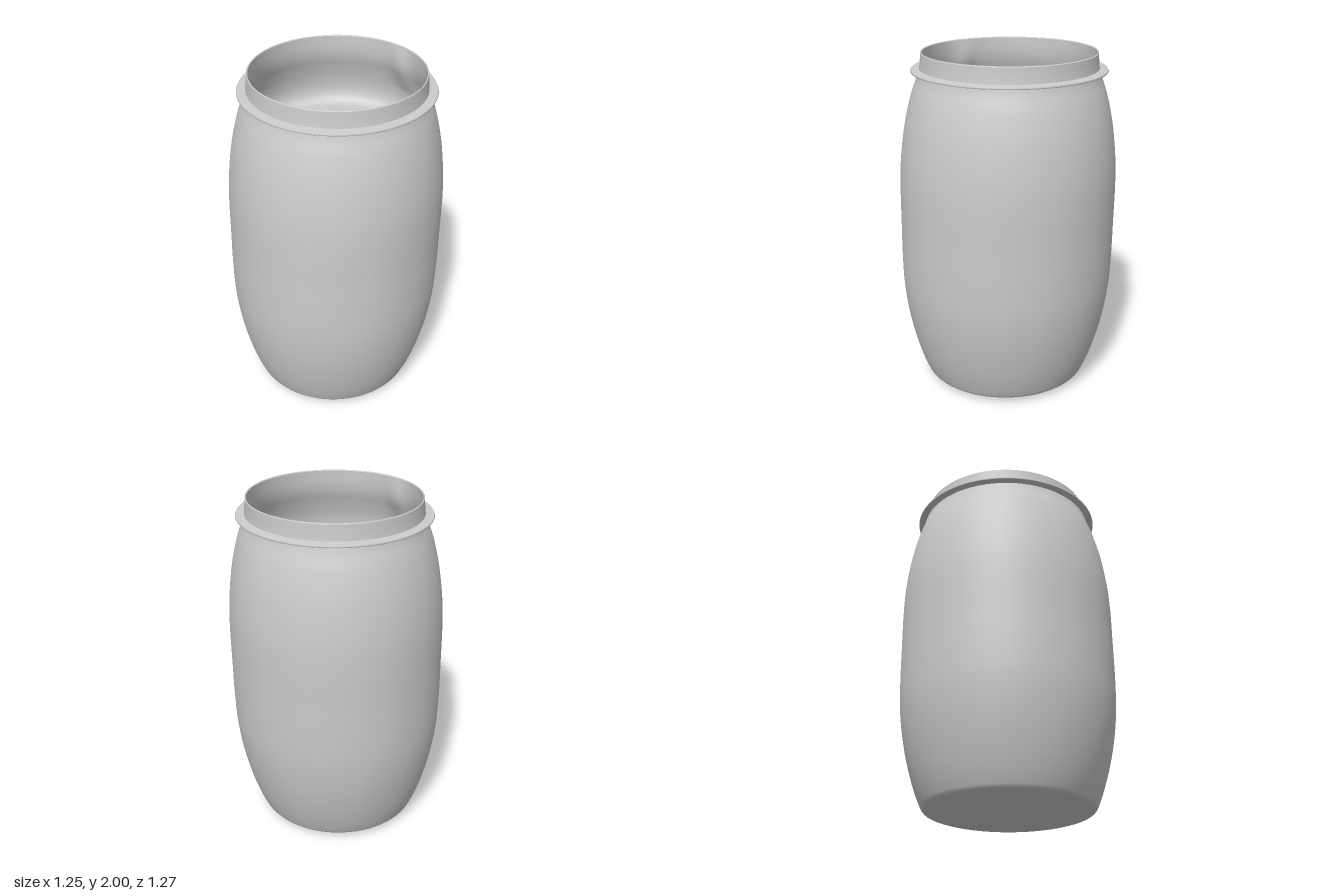
import * as THREE from 'three';
import { mergeVertices } from 'three/addons/utils/BufferGeometryUtils.js';

const material = new THREE.MeshStandardMaterial({ color: 0xcccccc, side: THREE.DoubleSide });

// Smooth curve through a few [radius, y] points
function smooth(points, count) {
  const curve = new THREE.CatmullRomCurve3(points.map(([r, y]) => new THREE.Vector3(r, y, 0)), false, 'centripetal');
  return curve.getPoints(count).map((p) => [Math.max(p.x, 0), p.y]);
}

// Turned part with a slight lean, plus an optional rule that moves its vertices
function turned(name, profile, rule) {
  const lathe = new THREE.LatheGeometry(profile.map(([r, y]) => new THREE.Vector2(r, y)), 72);
  const pos = lathe.attributes.position;
  const v = new THREE.Vector3();
  for (let i = 0; i < pos.count; i++) {
    v.fromBufferAttribute(pos, i);
    if (rule) rule(v);
    const lean = 0.012 * (v.y - 0.9);
    pos.setXYZ(i, v.x + lean, v.y, (v.z * 1.015) - lean);
  }
  lathe.deleteAttribute('uv');
  lathe.deleteAttribute('normal');
  const geometry = mergeVertices(lathe, 1e-5);
  geometry.computeVertexNormals();
  const mesh = new THREE.Mesh(geometry, material);
  mesh.name = name;
  return mesh;
}

// Two shallow lumps on opposite sides of the underside
function underside(v) {
  if (v.y > 0.04) return;
  for (const s of [-1, 1]) {
    const d = Math.hypot((v.x - s * 0.11) / 0.12, (v.z - s * 0.34) / 0.09);
    if (d < 1) v.y -= 0.022 * (1 - d * d) ** 2;
  }
}

// Two small inward dents in the lining of the neck
function neckDents(v) {
  if (v.y < 1.7) return;
  const angle = Math.atan2(v.z, v.x);
  for (const centre of [-0.76, 2.58]) {
    const d = (angle - centre) / 0.2;
    if (Math.abs(d) < 1) {
      const k = 1 - 0.045 * (1 - d * d) ** 2 * Math.sin(Math.PI * (v.y - 1.7) / 0.3);
      v.x *= k;
      v.z *= k;
    }
  }
}

export function createModel() {
  const barrel = new THREE.Group();
  barrel.name = 'barrel';

  // Bulging outer shell, closed underneath
  const base = Array.from({ length: 15 }, (_, i) => [i * 0.03, 0.022]);
  const side = smooth([
    [0.445, 0.023], [0.475, 0.035], [0.494, 0.07], [0.54, 0.2], [0.588, 0.4], [0.615, 0.6],
    [0.622, 0.8], [0.622, 1.0], [0.621, 1.25], [0.613, 1.4], [0.586, 1.6], [0.548, 1.76],
    [0.518, 1.85], [0.507, 1.895],
  ], 60);
  barrel.add(turned('shell', [...base, ...side], underside));

  // Thin flange around the neck
  barrel.add(turned('flangeUnderside', [[0.505, 1.887], [0.547, 1.891]]));
  barrel.add(turned('flangeEdge', [[0.547, 1.891], [0.55, 1.896], [0.547, 1.902]]));
  barrel.add(turned('flangeTop', [[0.547, 1.902], [0.5, 1.908]]));

  // Upright neck and its thin lip
  barrel.add(turned('neck', [[0.5, 1.906], [0.497, 1.93], [0.494, 1.96], [0.492, 1.995]]));
  barrel.add(turned('lip', [[0.492, 1.995], [0.488, 2], [0.484, 1.995]]));

  // Lining that curves into a flat inner floor
  const lining = smooth([
    [0.484, 1.995], [0.485, 1.92], [0.494, 1.86], [0.52, 1.78], [0.54, 1.7], [0.545, 1.63],
    [0.53, 1.58], [0.5, 1.555], [0.46, 1.55],
  ], 40);
  barrel.add(turned('lining', [...lining, [0.4, 1.55], [0.2, 1.55], [0, 1.55]], neckDents));

  return barrel;
}
